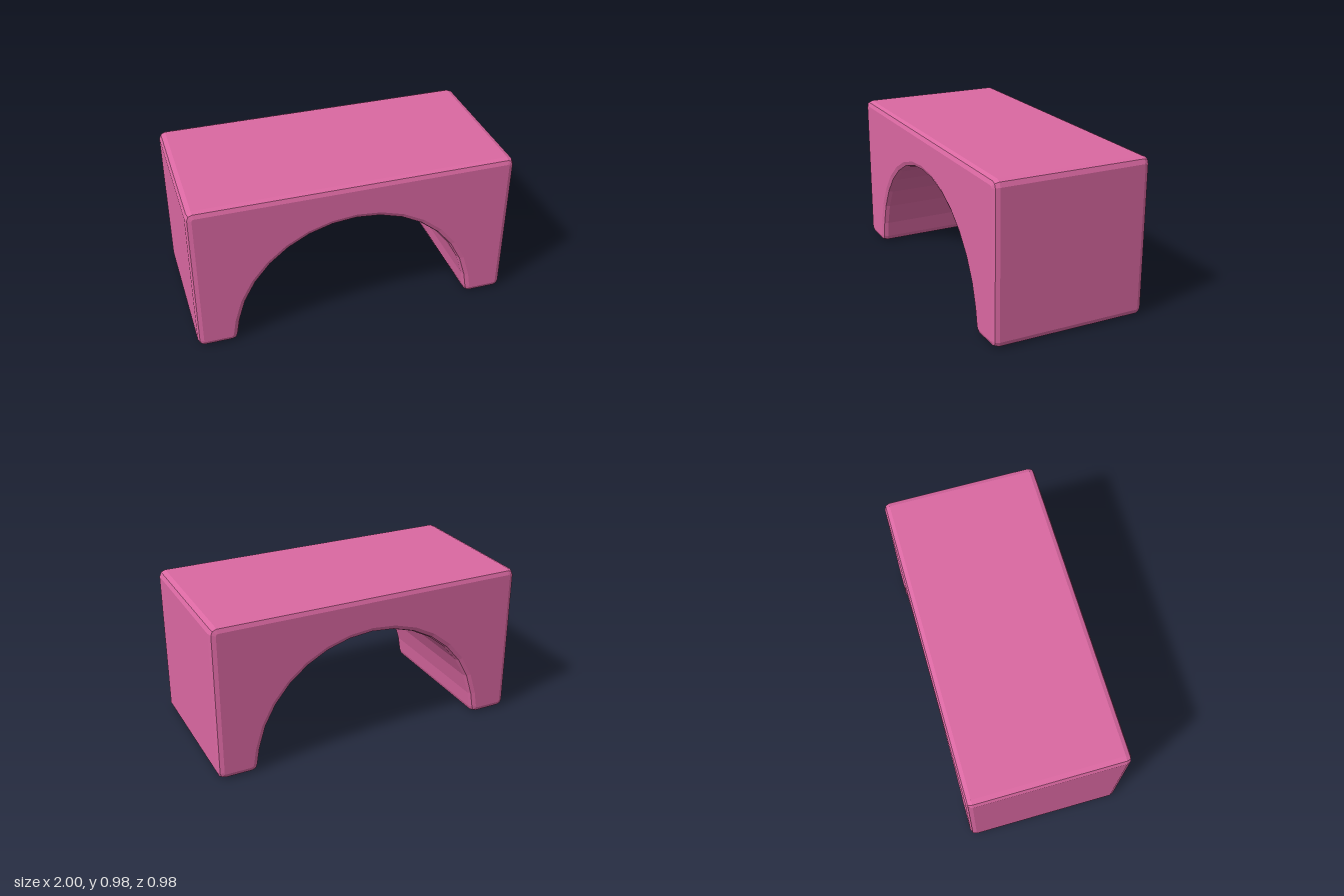
import * as THREE from 'three';

const WIDTH = 2, HEIGHT = 0.98, DEPTH = 0.98;
const ARCH_RADIUS = 0.745, ARCH_SIDES = 16;
const ROUND = 0.04, BEVEL = 0.035;

// Three points of a two-step rounded corner centred on (cx, cy)
function corner(cx, cy, startAngle) {
  return [0, 1, 2].map((i) => {
    const a = startAngle + (i * Math.PI) / 4;
    return new THREE.Vector2(cx + ROUND * Math.cos(a), cy + ROUND * Math.sin(a));
  });
}

// Front outline of the block, counter-clockwise, with the arch cut from below
function archOutline() {
  const x = WIDTH / 2 - ROUND, top = HEIGHT - ROUND;
  const footX = ARCH_RADIUS + 0.003 + ROUND;
  const points = [
    ...corner(x, ROUND, -Math.PI / 2),
    ...corner(x, top, 0),
    ...corner(-x, top, Math.PI / 2),
    ...corner(-x, ROUND, Math.PI),
    ...corner(-footX, ROUND, -Math.PI / 2),
  ];
  for (let i = ARCH_SIDES - 1; i > 0; i--) {
    const a = (i * Math.PI) / ARCH_SIDES;
    points.push(new THREE.Vector2(ARCH_RADIUS * Math.cos(a), ARCH_RADIUS * Math.sin(a)));
  }
  points.push(...corner(footX, ROUND, Math.PI));
  return new THREE.Shape(points);
}

export function createModel() {
  const group = new THREE.Group();
  group.name = 'archBlock';

  // Toy arch block with softened edges all round
  const geometry = new THREE.ExtrudeGeometry(archOutline(), {
    depth: DEPTH - 2 * BEVEL,
    bevelEnabled: true,
    bevelThickness: BEVEL,
    bevelSize: BEVEL,
    bevelOffset: -BEVEL,
    bevelSegments: 2,
  });
  geometry.translate(0, 0, BEVEL - DEPTH / 2);

  const material = new THREE.MeshStandardMaterial({ color: 0xdb68a2, flatShading: true });
  const block = new THREE.Mesh(geometry, material);
  block.name = 'arch';
  group.add(block);
  return group;
}
